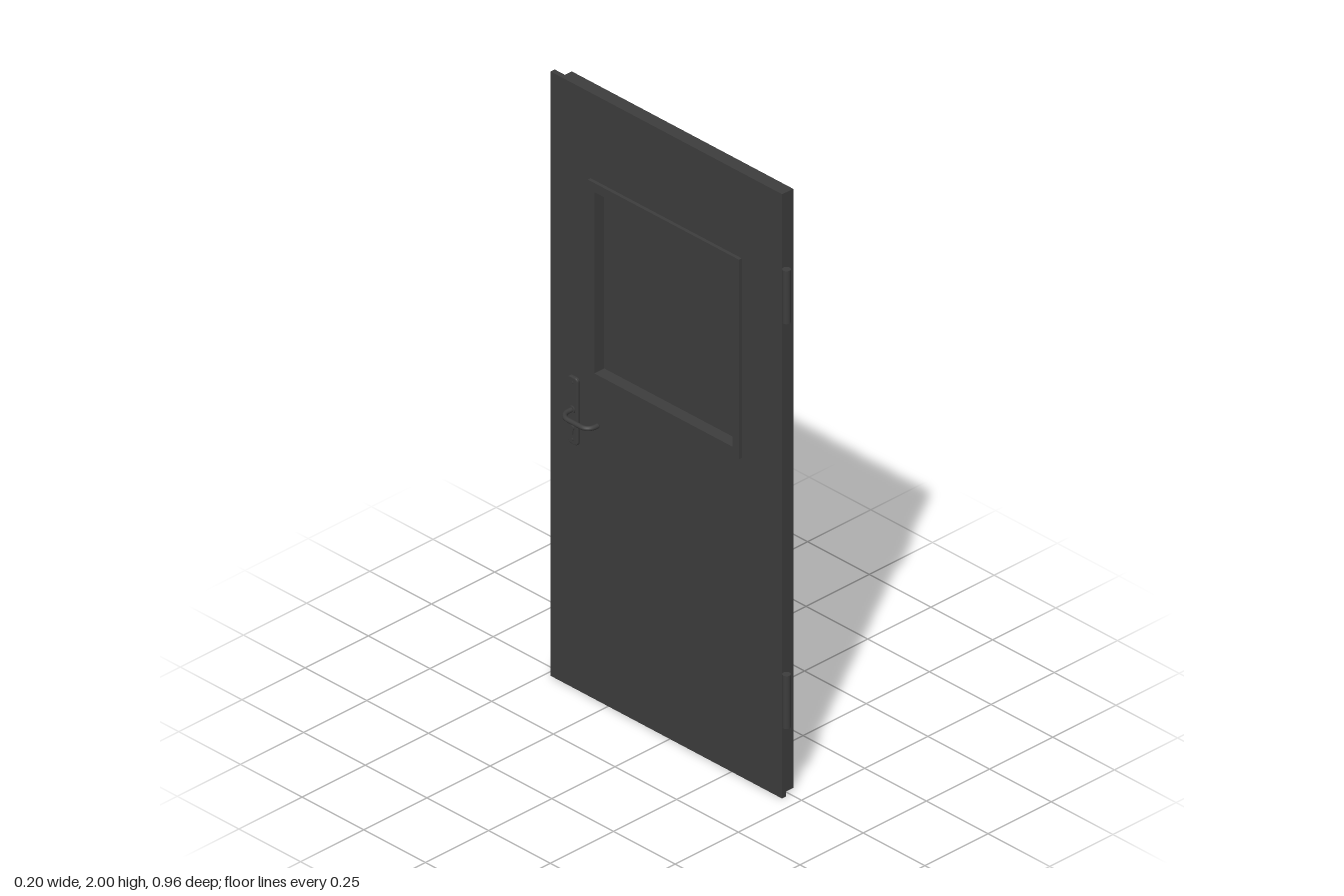
import * as THREE from 'three';

const metal = new THREE.MeshStandardMaterial({ color: 0x3d3d3d });

function add(parent, name, geometry, x = 0, y = 0, z = 0) {
  const mesh = new THREE.Mesh(geometry, metal);
  mesh.name = name;
  mesh.position.set(x, y, z);
  parent.add(mesh);
  return mesh;
}

// Rectangle in the door plane: first axis z, second axis y
function rectangle(target, z0, z1, y0, y1) {
  target.moveTo(z0, y0);
  target.lineTo(z1, y0);
  target.lineTo(z1, y1);
  target.lineTo(z0, y1);
  target.closePath();
  return target;
}

// Panel with the window opening cut out, spanning x0 to x1
function openPanel(parent, name, x0, x1, z0, z1, y0, y1) {
  const shape = rectangle(new THREE.Shape(), z0, z1, y0, y1);
  shape.holes.push(rectangle(new THREE.Path(), -0.295, 0.265, 1.087, 1.687));
  const geometry = new THREE.ExtrudeGeometry(shape, { depth: x1 - x0, bevelEnabled: false });
  geometry.rotateY(-Math.PI / 2);
  add(parent, name, geometry, x1);
}

// Handle set facing +x, with the door face at local x = 0
function handleSet(name) {
  const group = new THREE.Group();
  group.name = name;

  // Back plate with rounded corners and a small bevel
  const w = 0.017, h = 0.108, r = 0.009;
  const shape = new THREE.Shape();
  shape.moveTo(-w + r, -h);
  shape.lineTo(w - r, -h);
  shape.quadraticCurveTo(w, -h, w, -h + r);
  shape.lineTo(w, h - r);
  shape.quadraticCurveTo(w, h, w - r, h);
  shape.lineTo(-w + r, h);
  shape.quadraticCurveTo(-w, h, -w, h - r);
  shape.lineTo(-w, -h + r);
  shape.quadraticCurveTo(-w, -h, -w + r, -h);
  const plate = new THREE.ExtrudeGeometry(shape, {
    depth: 0.006, bevelThickness: 0.003, bevelSize: 0.003, bevelSegments: 2, curveSegments: 5,
  });
  plate.rotateY(Math.PI / 2);
  add(group, 'backPlate', plate, 0.002, 0.925, -0.384);

  // Round fittings: lever collar, lock cylinder and screws
  const round = (part, radius, length, y) => {
    const geometry = new THREE.CylinderGeometry(radius, radius, length, 20);
    geometry.rotateZ(Math.PI / 2);
    add(group, part, geometry, length / 2, y, -0.384);
  };
  round('leverCollar', 0.012, 0.016, 0.93);
  round('lockCylinder', 0.009, 0.016, 0.87);
  round('upperScrew', 0.004, 0.013, 1.018);
  round('lowerScrew', 0.004, 0.013, 0.83);
  add(group, 'lockCylinderTail', new THREE.BoxGeometry(0.016, 0.02, 0.009), 0.008, 0.858, -0.384);

  // Lever that bends back towards the door
  const v = (x, z) => new THREE.Vector3(x, 0.93, z);
  const path = new THREE.CurvePath();
  path.add(new THREE.LineCurve3(v(0.005, -0.384), v(0.027, -0.384)));
  path.add(new THREE.CubicBezierCurve3(v(0.027, -0.384), v(0.046, -0.384), v(0.061, -0.369), v(0.061, -0.35)));
  path.add(new THREE.LineCurve3(v(0.061, -0.35), v(0.061, -0.3)));
  path.add(new THREE.CubicBezierCurve3(v(0.061, -0.3), v(0.061, -0.28), v(0.05, -0.269), v(0.03, -0.269)));
  path.add(new THREE.LineCurve3(v(0.03, -0.269), v(0.024, -0.269)));
  add(group, 'lever', new THREE.TubeGeometry(path, 48, 0.0075, 12, false));
  const cap = new THREE.SphereGeometry(0.0075, 12, 8);
  cap.scale(0.4, 1, 1);
  add(group, 'leverEnd', cap, 0.024, 0.93, -0.269);
  return group;
}

export function createModel() {
  const door = new THREE.Group();
  door.name = 'door';

  // Leaf: wide rebated face sheet and thicker core
  openPanel(door, 'faceSheet', -0.033, -0.017, -0.483, 0.455, 0, 2);
  openPanel(door, 'core', -0.017, 0.031, -0.463, 0.435, 0, 1.982);

  // Window with a raised frame on both faces
  openPanel(door, 'windowFrameRight', -0.044, -0.033, -0.321, 0.292, 1.057, 1.717);
  openPanel(door, 'windowFrameLeft', 0.031, 0.041, -0.321, 0.292, 1.057, 1.717);
  add(door, 'windowPane', new THREE.BoxGeometry(0.008, 0.6, 0.56), -0.001, 1.387, -0.015);

  // Barrel hinges
  for (const y of [0.328, 1.668]) {
    const hinge = new THREE.Group();
    hinge.name = 'hinge';
    add(hinge, 'hingeBarrel', new THREE.CylinderGeometry(0.0125, 0.0125, 0.175, 24), -0.028, y, 0.468);
    add(hinge, 'hingeLeaf', new THREE.BoxGeometry(0.008, 0.17, 0.02), -0.025, y, 0.452);
    door.add(hinge);
  }

  // Handles on both faces
  const left = handleSet('handleLeft');
  left.position.x = 0.031;
  const right = handleSet('handleRight');
  right.rotation.z = Math.PI;
  right.position.set(-0.033, 0, 0);
  // Mirror across the door plane
  right.rotation.z = 0;
  right.scale.x = -1;
  door.add(left, right);

  return door;
}
